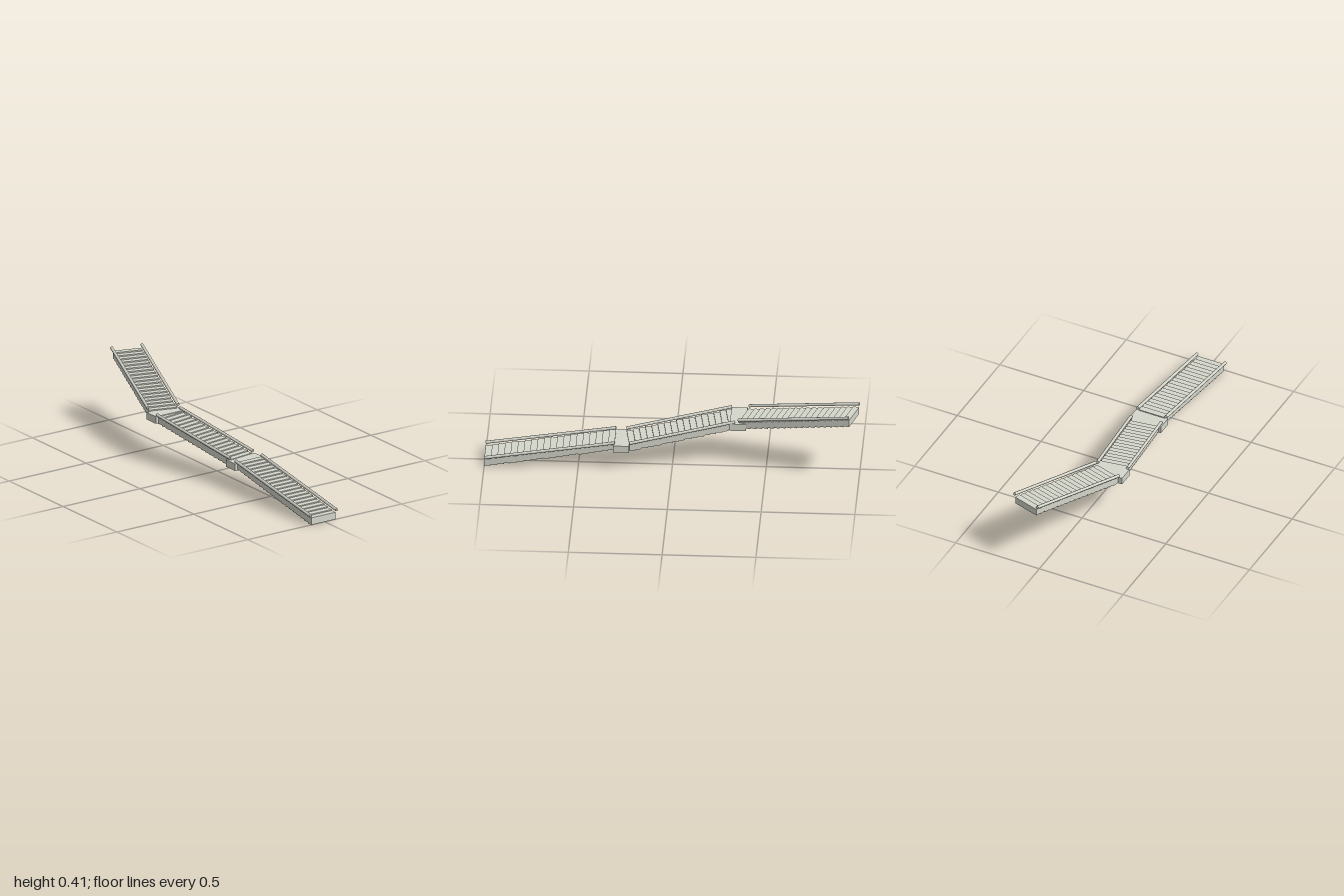
import * as THREE from 'three';

const stone = new THREE.MeshStandardMaterial({ color: 0xd5d7cc });
stone.name = 'paleStone';

const STEP_WIDTH = 0.156, STEP_HEIGHT = 0.04;
const RAIL_OFFSET = 0.0845, RAIL_RADIUS = 0.0085;

// from/to: centre line on the plan [x, z]; tops: first and last tread; rails: rail heights at both ends
const flights = [
  { name: 'lowerFlight', from: [-0.0075, 1.0], to: [-0.0075, 0.305], steps: 20, tops: [0.04, 0.154], rails: [0.052, 0.162] },
  { name: 'middleFlight', from: [-0.0075, 0.238], to: [-0.091, -0.32], steps: 17, tops: [0.153, 0.251], rails: [0.162, 0.263] },
  { name: 'upperFlight', from: [-0.0885, -0.375], to: [0.0945, -0.973], steps: 19, tops: [0.261, 0.387], rails: [0.274, 0.405] },
];

// level boxes where the flights change direction
const landings = [
  { name: 'lowerLanding', x: -0.0065, y: 0.129, z: 0.27 },
  { name: 'upperLanding', x: -0.09, y: 0.235, z: -0.348 },
];

function createRail(length, y0, y1, side) {
  const a = new THREE.Vector3(side * RAIL_OFFSET, y0, 0);
  const b = new THREE.Vector3(side * RAIL_OFFSET, y1, -length);
  const dir = b.clone().sub(a);
  const rail = new THREE.Mesh(
    new THREE.CylinderGeometry(RAIL_RADIUS, RAIL_RADIUS, dir.length(), 8), stone);
  rail.quaternion.setFromUnitVectors(new THREE.Vector3(0, 1, 0), dir.normalize());
  rail.position.copy(a).add(b).multiplyScalar(0.5);
  rail.name = side > 0 ? 'leftHandrail' : 'rightHandrail';
  return rail;
}

// each flight climbs along its own -z, then is turned into place
function createFlight({ name, from, to, steps, tops, rails }) {
  const flight = new THREE.Group();
  flight.name = name;
  const dx = to[0] - from[0], dz = to[1] - from[1];
  const length = Math.hypot(dx, dz), depth = length / steps;
  const box = new THREE.BoxGeometry(STEP_WIDTH, STEP_HEIGHT, depth);
  for (let i = 0; i < steps; i++) {
    const step = new THREE.Mesh(box, stone);
    const top = THREE.MathUtils.lerp(tops[0], tops[1], i / (steps - 1));
    step.position.set(0, top - STEP_HEIGHT / 2, -(i + 0.5) * depth);
    step.name = 'step';
    flight.add(step);
  }
  for (const side of [-1, 1]) flight.add(createRail(length, rails[0], rails[1], side));
  flight.position.set(from[0], 0, from[1]);
  flight.rotation.y = Math.atan2(-dx, -dz);
  return flight;
}

export function createModel() {
  const model = new THREE.Group();
  model.name = 'staircase';
  for (const f of flights) model.add(createFlight(f));
  for (const { name, x, y, z } of landings) {
    const landing = new THREE.Mesh(new THREE.BoxGeometry(0.188, STEP_HEIGHT, 0.086), stone);
    landing.position.set(x, y, z);
    landing.name = name;
    model.add(landing);
  }
  return model;
}
